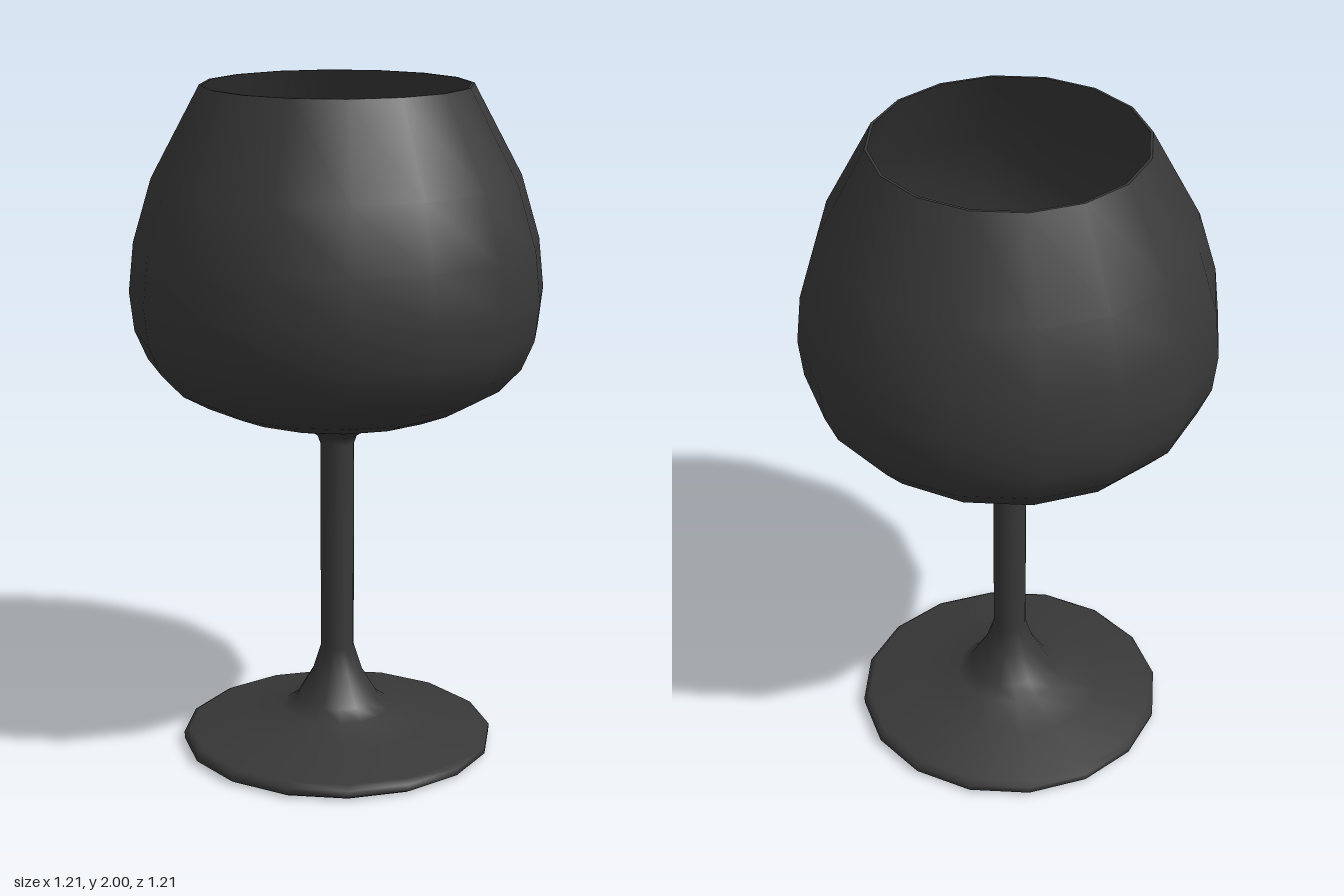
import * as THREE from 'three';

const SIDES = 16;
const material = new THREE.MeshStandardMaterial({ color: 0x383838 });

// Outer profile from the foot's rim up to the lip: [radius, height]
const outer = [
  [0.45, 0], [0.468, 0.01], [0.469, 0.03], [0.45, 0.042], [0.29, 0.078],
  [0.164, 0.11], [0.125, 0.14], [0.075, 0.225], [0.05, 0.305],
  [0.05, 0.94], [0.06, 0.967], [0.095, 0.99],
  [0.32, 1.053], [0.41, 1.09], [0.49, 1.135], [0.555, 1.205], [0.592, 1.29],
  [0.605, 1.405], [0.59, 1.55], [0.535, 1.735], [0.393, 2],
];
const STEM_START = 8, BOWL_START = 9;

// Inner profile from the lip down to the centre of the bowl
const inner = [
  [0.385, 2], [0.526, 1.735], [0.581, 1.55], [0.596, 1.405], [0.583, 1.295],
  [0.547, 1.213], [0.484, 1.145], [0.406, 1.101], [0.318, 1.064], [0.095, 1.002], [0, 0.998],
];

function lathe(profile) {
  return new THREE.LatheGeometry(profile.map(([r, y]) => new THREE.Vector2(r, y)), SIDES);
}

// Keeps only the bands from one profile point to another, so that
// neighbouring parts share the same smooth normals
function bands(geometry, count, from, to) {
  const all = geometry.index.array;
  const kept = [];
  for (let i = 0; i < SIDES; i++) {
    const start = i * (count - 1);
    kept.push(...all.slice((start + from) * 6, (start + to) * 6));
  }
  const part = geometry.clone();
  part.setIndex(kept);
  return part;
}

export function createModel() {
  const group = new THREE.Group();
  const add = (name, geometry) => {
    const mesh = new THREE.Mesh(geometry, material);
    mesh.name = name;
    group.add(mesh);
  };

  // Foot, stem and outside of the bowl flow into one another
  const body = lathe(outer);
  const last = outer.length - 1;
  add('foot', bands(body, outer.length, 0, STEM_START));
  add('stem', bands(body, outer.length, STEM_START, BOWL_START));
  add('bowlOutside', bands(body, outer.length, BOWL_START, last));

  // Flat underside, thin lip and inside of the bowl
  add('footUnderside', lathe([[0, 0], outer[0]]));
  add('lip', lathe([outer[last], inner[0]]));
  add('bowlInside', lathe(inner));

  return group;
}
